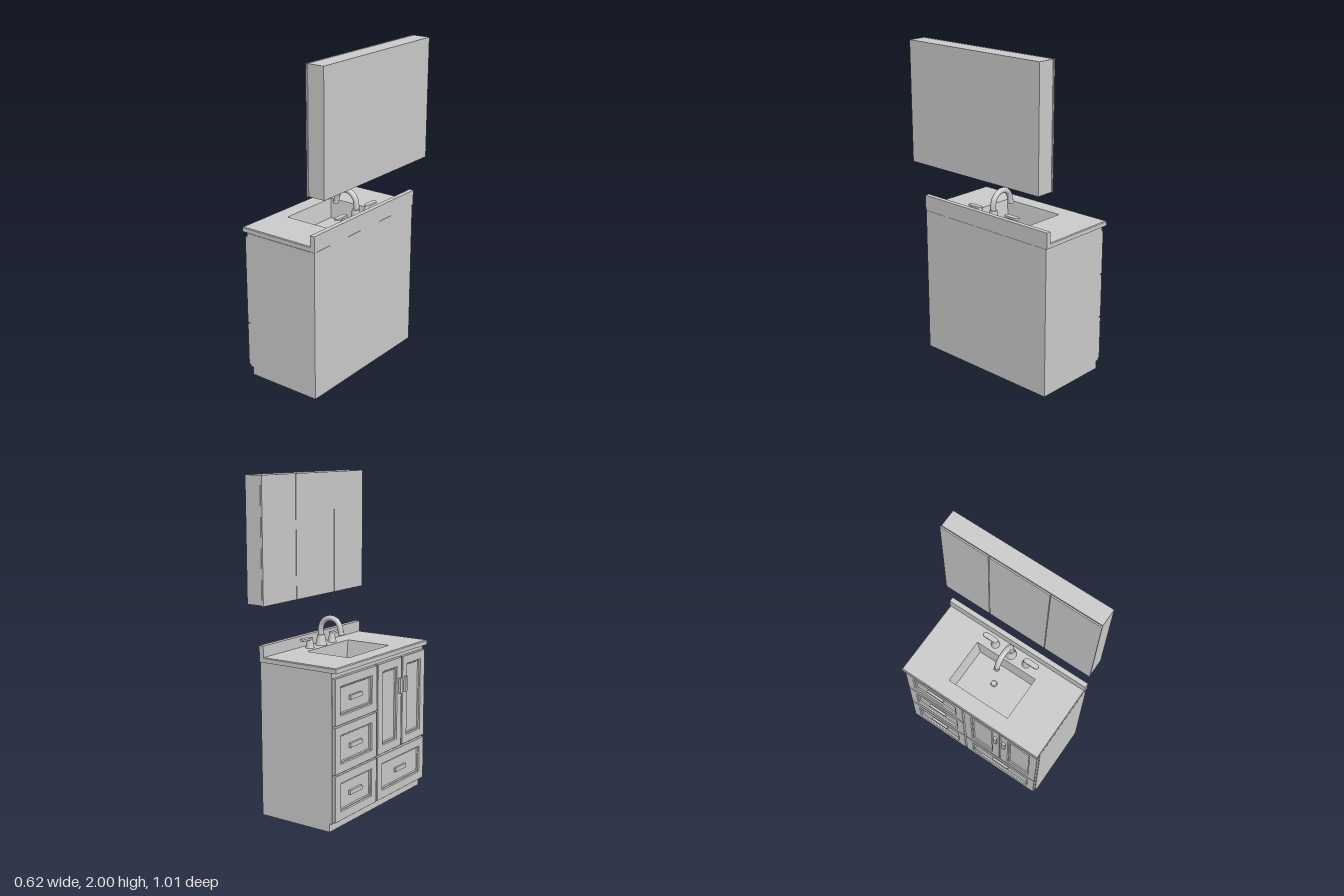
import * as THREE from 'three';

const grey = new THREE.MeshStandardMaterial({ color: 0xcccccc });

function add(parent, name, geometry, x = 0, y = 0, z = 0) {
  const m = new THREE.Mesh(geometry, grey);
  m.name = name;
  m.position.set(x, y, z);
  parent.add(m);
  return m;
}

// Box given by its limits
function box(parent, name, x0, x1, y0, y1, z0, z1) {
  return add(parent, name, new THREE.BoxGeometry(x1 - x0, y1 - y0, z1 - z0),
    (x0 + x1) / 2, (y0 + y1) / 2, (z0 + z1) / 2);
}

// Joins rectangles [u0, u1, v0, v1, depth] with flat walls and closes the last one
function rectLoft(rings) {
  const pts = rings.map(([u0, u1, v0, v1, d]) =>
    [[u0, v0, d], [u1, v0, d], [u1, v1, d], [u0, v1, d]]);
  const pos = [];
  const quad = (a, b, c, d) => pos.push(...a, ...b, ...c, ...a, ...c, ...d);
  for (let i = 0; i < pts.length - 1; i++) {
    for (let k = 0; k < 4; k++) {
      const n = (k + 1) % 4;
      quad(pts[i][k], pts[i][n], pts[i + 1][n], pts[i + 1][k]);
    }
  }
  quad(...pts[pts.length - 1]);
  const g = new THREE.BufferGeometry();
  g.setAttribute('position', new THREE.Float32BufferAttribute(pos, 3));
  g.computeVertexNormals();
  return g;
}

// Framed front with a sunken panel, facing -x
function panelFront(parent, name, z0, z1, y0, y1) {
  const inset = (s, d) => [z0 + s, z1 - s, y0 + s, y1 - s, d];
  const g = rectLoft([
    inset(0, 0.277), inset(0, 0.296), inset(0.002, 0.298),
    inset(0.052, 0.298), inset(0.056, 0.291), inset(0.062, 0.291), inset(0.066, 0.284),
  ]);
  g.rotateY(-Math.PI / 2);
  return add(parent, name, g);
}

function createCabinet() {
  const g = new THREE.Group();
  g.name = 'cabinet';
  const t = 0.015, z0 = -0.495, z1 = 0.49;
  box(g, 'toeKick', -0.26, 0.228, 0, 0.05, z0, z1);
  box(g, 'cabinetBottom', -0.277, 0.228, 0.05, 0.05 + t, z0, z1);
  box(g, 'cabinetBack', 0.228 - t, 0.228, 0.05, 0.93, z0, z1);
  box(g, 'cabinetFace', -0.277, -0.277 + t, 0.05, 0.93, z0, z1);
  box(g, 'cabinetSide', -0.277, 0.228, 0.05, 0.93, z0, z0 + t);
  box(g, 'cabinetSide', -0.277, 0.228, 0.05, 0.93, z1 - t, z1);

  // Three drawers in one column, a wide drawer below two doors in the other
  const drawers = [0, 1, 2].map((i) => [-0.49, -0.065, 0.06 + i * 0.283, 0.335 + i * 0.283]);
  drawers.push([-0.055, 0.485, 0.06, 0.335]);
  for (const [a, b, y0, y1] of drawers) {
    panelFront(g, 'drawerFront', a, b, y0, y1);
    const zc = (a + b) / 2, yc = (y0 + y1) / 2;
    box(g, 'drawerHandle', -0.298, -0.284, yc - 0.013, yc + 0.013, zc - 0.06, zc + 0.06);
  }
  for (const [a, b, h] of [[-0.055, 0.21, 0.184], [0.22, 0.485, 0.246]]) {
    panelFront(g, 'door', a, b, 0.345, 0.902);
    box(g, 'doorHandle', -0.313, -0.297, 0.68, 0.775, h - 0.011, h + 0.011);
  }
  return g;
}

function createCountertop() {
  const g = new THREE.Group();
  g.name = 'countertop';
  // Slab and sunken basin in one surface; v runs along -z
  const slab = rectLoft([
    [-0.27, 0.22, -0.48, 0.485, 0.932],
    [-0.31, 0.23, -0.49, 0.502, 0.932],
    [-0.31, 0.23, -0.49, 0.502, 0.957],
    [-0.305, 0.23, -0.486, 0.498, 0.962],
    [-0.205, 0.095, -0.205, 0.222, 0.962],
    [-0.19, 0.09, -0.185, 0.2, 0.84],
  ]);
  slab.rotateX(-Math.PI / 2);
  add(g, 'counterWithBasin', slab);
  box(g, 'backsplash', 0.2, 0.23, 0.932, 1.03, -0.502, 0.492);

  const drain = [[0, 0.001], [0.011, 0.001], [0.014, 0.006], [0.018, 0.006], [0.021, 0]];
  add(g, 'drain', new THREE.LatheGeometry(
    drain.map(([r, y]) => new THREE.Vector2(r, y)).reverse(), 32), -0.035, 0.84, -0.01);
  return g;
}

// Turned base: a flared foot with a tapering body
function turnedBase(r, h) {
  const profile = [[1, 0], [1, 0.1], [0.9, 0.18], [0.78, 0.5], [0.66, 0.95], [0.6, 1], [0, 1]];
  return new THREE.LatheGeometry(profile.map(([a, b]) => new THREE.Vector2(a * r, b * h)), 32);
}

function createFaucet() {
  const g = new THREE.Group();
  g.name = 'faucet';
  const x = 0.146, y = 0.961, zc = -0.01;
  add(g, 'spoutBase', turnedBase(0.036, 0.067), x, y, zc);

  const path = new THREE.CatmullRomCurve3([
    [0.146, 1.01], [0.15, 1.05], [0.138, 1.095], [0.108, 1.125], [0.07, 1.134],
    [0.032, 1.122], [0.008, 1.09], [-0.002, 1.045],
  ].map(([px, py]) => new THREE.Vector3(px, py, zc)));
  add(g, 'spout', new THREE.TubeGeometry(path, 48, 0.017, 20));
  const tip = add(g, 'spoutTip', new THREE.CylinderGeometry(0.018, 0.019, 0.02, 24), -0.003, 1.048, zc);
  tip.rotation.z = -0.15;

  // Hot and cold levers pointing away from the spout
  for (const s of [-1, 1]) {
    const z = zc + s * 0.114;
    add(g, 'leverBase', turnedBase(0.027, 0.055), x, y, z);
    const w = 0.017, shape = new THREE.Shape();
    shape.absarc(0, 0, w, Math.PI, 2 * Math.PI);
    shape.absarc(0, 0.07, w, 0, Math.PI);
    shape.closePath();
    const lever = new THREE.ExtrudeGeometry(shape, {
      depth: 0.009, bevelThickness: 0.002, bevelSize: 0.002, bevelOffset: -0.002,
      bevelSegments: 2, curveSegments: 16,
    });
    lever.rotateX(-Math.PI / 2);
    if (s > 0) lever.rotateY(Math.PI);
    add(g, 'lever', lever, x, 1.015, z);
  }
  return g;
}

function createMirrorCabinet() {
  const g = new THREE.Group();
  g.name = 'mirrorCabinet';
  box(g, 'mirrorCabinetBody', 0.203, 0.31, 1.263, 2, -0.505, 0.503);
  for (const [a, b] of [[-0.507, -0.197], [-0.193, 0.189], [0.193, 0.505]]) {
    box(g, 'mirrorDoor', 0.19, 0.199, 1.26, 2, a, b);
  }
  // Narrow spacer behind the doors
  box(g, 'doorSpacer', 0.198, 0.204, 1.275, 1.985, -0.49, 0.49);
  return g;
}

export function createModel() {
  const model = new THREE.Group();
  model.name = 'bathroomVanity';
  model.add(createCabinet(), createCountertop(), createFaucet(), createMirrorCabinet());
  return model;
}
